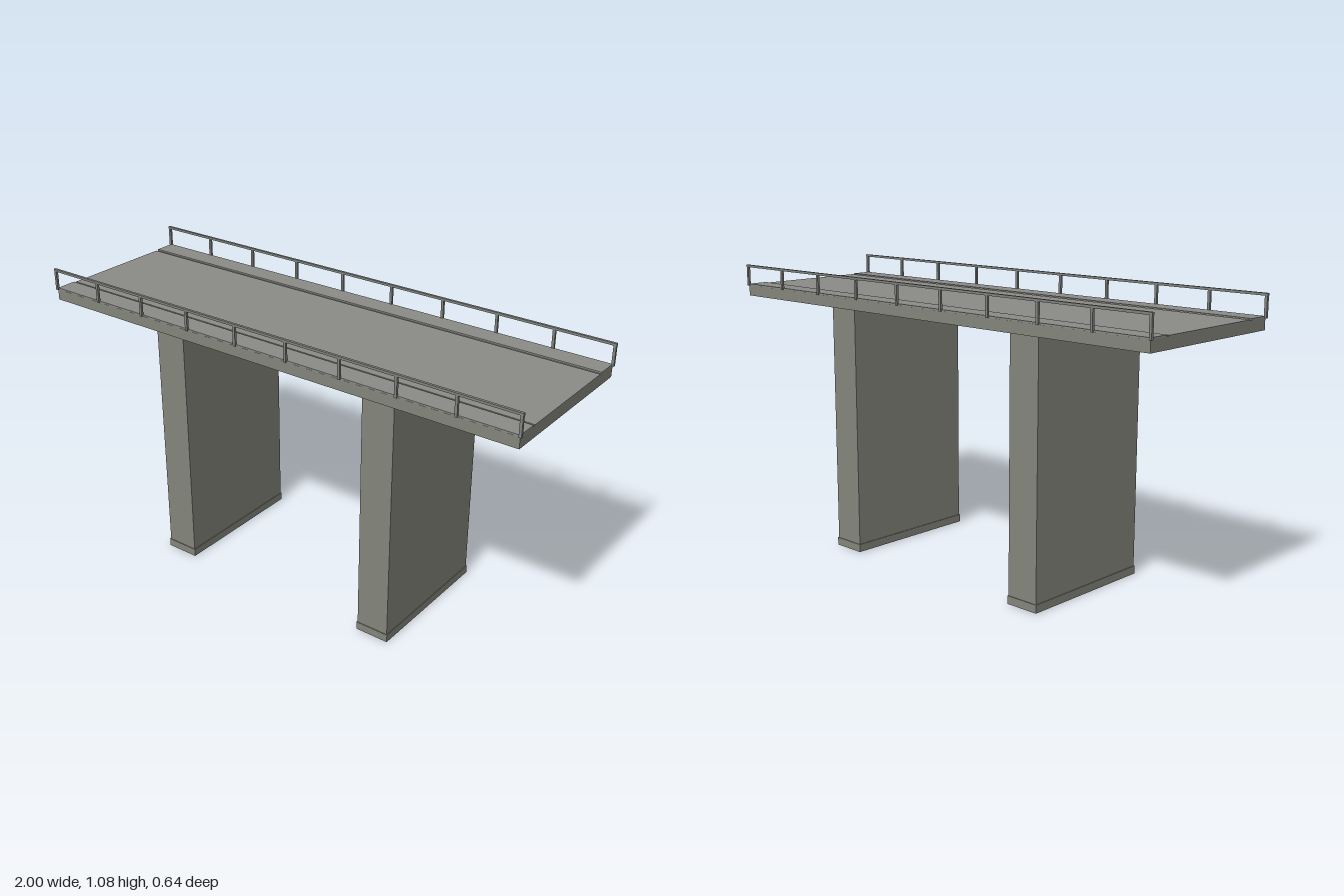
import * as THREE from 'three';

export function createModel() {
  const bridge = new THREE.Group();
  bridge.name = 'bridge';

  const material = (name, color) => {
    const m = new THREE.MeshStandardMaterial({ color });
    m.name = name;
    return m;
  };
  const concrete = material('warm concrete', 0x84857b);
  const paving = material('grey paving', 0x8b8c88);
  const steel = material('grey steel', 0x80827e);

  // Box given by its size, centre x and z, and underside y
  const box = (name, mat, [w, h, d], [x, y, z], parent = bridge) => {
    const mesh = new THREE.Mesh(new THREE.BoxGeometry(w, h, d), mat);
    mesh.name = name;
    mesh.position.set(x, y + h / 2, z);
    parent.add(mesh);
    return mesh;
  };

  // Deck slab and roadway
  const length = 1.985;
  box('deck', concrete, [length, 0.041, 0.63], [0, 0.954, 0]);
  box('roadway', paving, [length, 0.004, 0.446], [0, 0.994, 0]);

  // Wall piers on slightly wider footings
  for (const side of [-1, 1]) {
    const x = side * 0.457;
    box('pier', concrete, [0.126, 0.925, 0.544], [x, 0.03, 0]);
    box('footing', concrete, [0.132, 0.03, 0.55], [x, 0, 0]);
  }

  // Walkways and railings along both edges
  const posts = 10;
  for (const side of [-1, 1]) {
    box('walkway', paving, [length, 0.007, 0.081], [0, 0.994, side * 0.274]);

    const railing = new THREE.Group();
    railing.name = 'railing';
    railing.position.z = side * 0.315;
    bridge.add(railing);
    box('handrail', steel, [2, 0.009, 0.01], [0, 1.068, 0], railing);
    for (let i = 0; i < posts; i++) {
      const x = -0.994 + (1.988 * i) / (posts - 1);
      box('railPost', steel, [0.01, 0.075, 0.009], [x, 0.994, 0], railing);
    }
  }

  return bridge;
}
